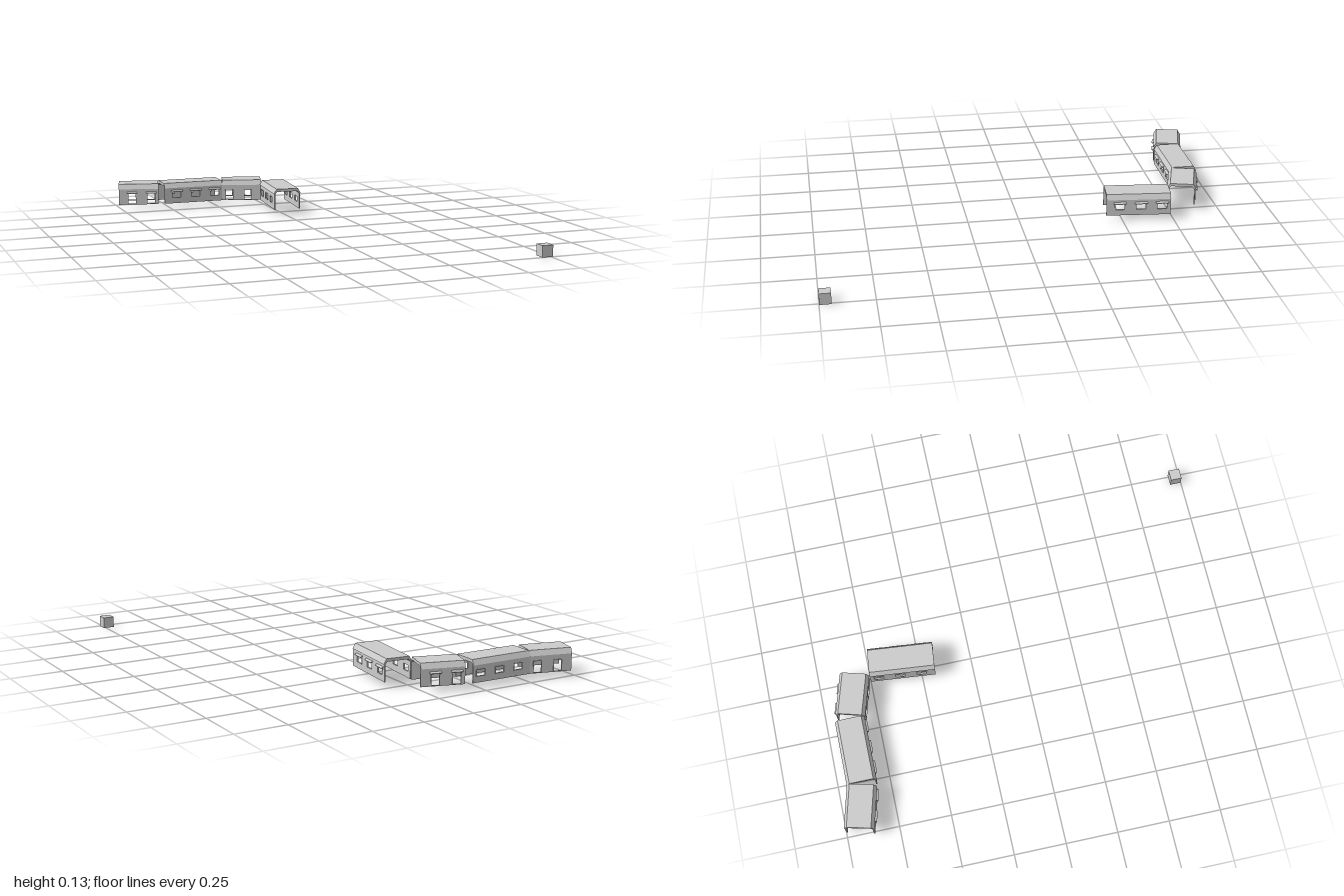
import * as THREE from 'three';

const material = new THREE.MeshStandardMaterial({ color: 0xcccccc, flatShading: true, side: THREE.DoubleSide });
const BASE = 0.025, EAVE = 0.107, TOP = 0.132;
const HALF = 0.0715, WALL = 0.006;

function add(parent, name, geometry, x = 0, y = 0, z = 0) {
  const mesh = new THREE.Mesh(geometry, material);
  mesh.name = name;
  mesh.position.set(x, y, z);
  parent.add(mesh);
  return mesh;
}

function polygon(points) {
  return new THREE.Shape(points.map(([x, y]) => new THREE.Vector2(x, y)));
}

function rectangle(x0, y0, x1, y1) {
  return polygon([[x0, y0], [x1, y0], [x1, y1], [x0, y1]]);
}

// Long side wall, pierced by a row of openings
function wallGeometry(length, centres, o) {
  const shape = rectangle(-length / 2, BASE, length / 2, EAVE + 0.005);
  for (const c of centres) {
    shape.holes.push(rectangle(c - o.width / 2, o.bottom, c + o.width / 2, o.top));
  }
  return new THREE.ExtrudeGeometry(shape, { depth: WALL, bevelEnabled: false });
}

// Flat roof with sloping eaves, open underneath
function roofGeometry(length) {
  const outer = [[HALF, EAVE], [0.057, TOP]];
  const inner = [[0.053, 0.118], [0.063, EAVE]];
  const mirror = (p) => p.map(([x, y]) => [-x, y]).reverse();
  const shape = polygon([...outer, ...mirror(outer), ...mirror(inner), ...inner]);
  const geometry = new THREE.ExtrudeGeometry(shape, { depth: length, bevelEnabled: false });
  geometry.translate(0, 0, -length / 2);
  return geometry.rotateY(Math.PI / 2);
}

// Raised border around an opening
function frameGeometry(o) {
  const b = 0.003;
  const shape = rectangle(-o.width / 2 - b, o.bottom - b, o.width / 2 + b, o.top + b);
  shape.holes.push(rectangle(-o.width / 2, o.bottom, o.width / 2, o.top));
  return new THREE.ExtrudeGeometry(shape, { depth: 0.002, bevelEnabled: false });
}

// One corridor module: two walls and a roof, with both ends open
function corridor(name, { length, centres, opening, x, z, turn }) {
  const group = new THREE.Group();
  group.name = name;
  const outerZ = 0.068;
  add(group, 'roof', roofGeometry(length));
  add(group, 'outerWall', wallGeometry(length, centres, opening), 0, 0, outerZ - WALL);
  add(group, 'innerWall', wallGeometry(length, centres, opening), 0, 0, -outerZ);

  for (const c of centres) {
    add(group, 'outerFrame', frameGeometry(opening), c, 0, outerZ);
    add(group, 'innerFrame', frameGeometry(opening), c, 0, -outerZ - 0.002);
    // Sloping hood over each opening on the outer side
    const hood = add(group, 'hood', new THREE.BoxGeometry(opening.width + 0.016, 0.004, 0.014),
      c, opening.top + 0.006, outerZ + 0.004);
    hood.rotation.x = 0.5;
  }

  group.position.set(x, 0, z);
  group.rotation.y = THREE.MathUtils.degToRad(turn);
  return group;
}

export function createModel() {
  const model = new THREE.Group();
  model.name = 'corridorSet';

  const windowOpening = { width: 0.046, bottom: 0.055, top: 0.084 };
  const doorOpening = { width: 0.038, bottom: 0.029, top: 0.082 };
  const long = { length: 0.316, centres: [-0.092, 0.012, 0.116], opening: windowOpening };
  const short = { length: 0.207, centres: [-0.035, 0.065], opening: doorOpening };

  model.add(
    corridor('endCorridor', { ...short, x: -0.647, z: -0.908, turn: -14 }),
    corridor('middleCorridor', { ...long, x: -0.373, z: -0.881, turn: 0 }),
    corridor('cornerCorridor', { ...short, x: -0.097, z: -0.847, turn: 164 }),
    corridor('sideCorridor', { ...long, x: 0.032, z: -0.585, turn: 84.5 }),
  );

  // Separate marker block
  add(model, 'block', new THREE.BoxGeometry(0.054, 0.054, 0.054), 0.733, 0.027, 0.972);
  return model;
}
